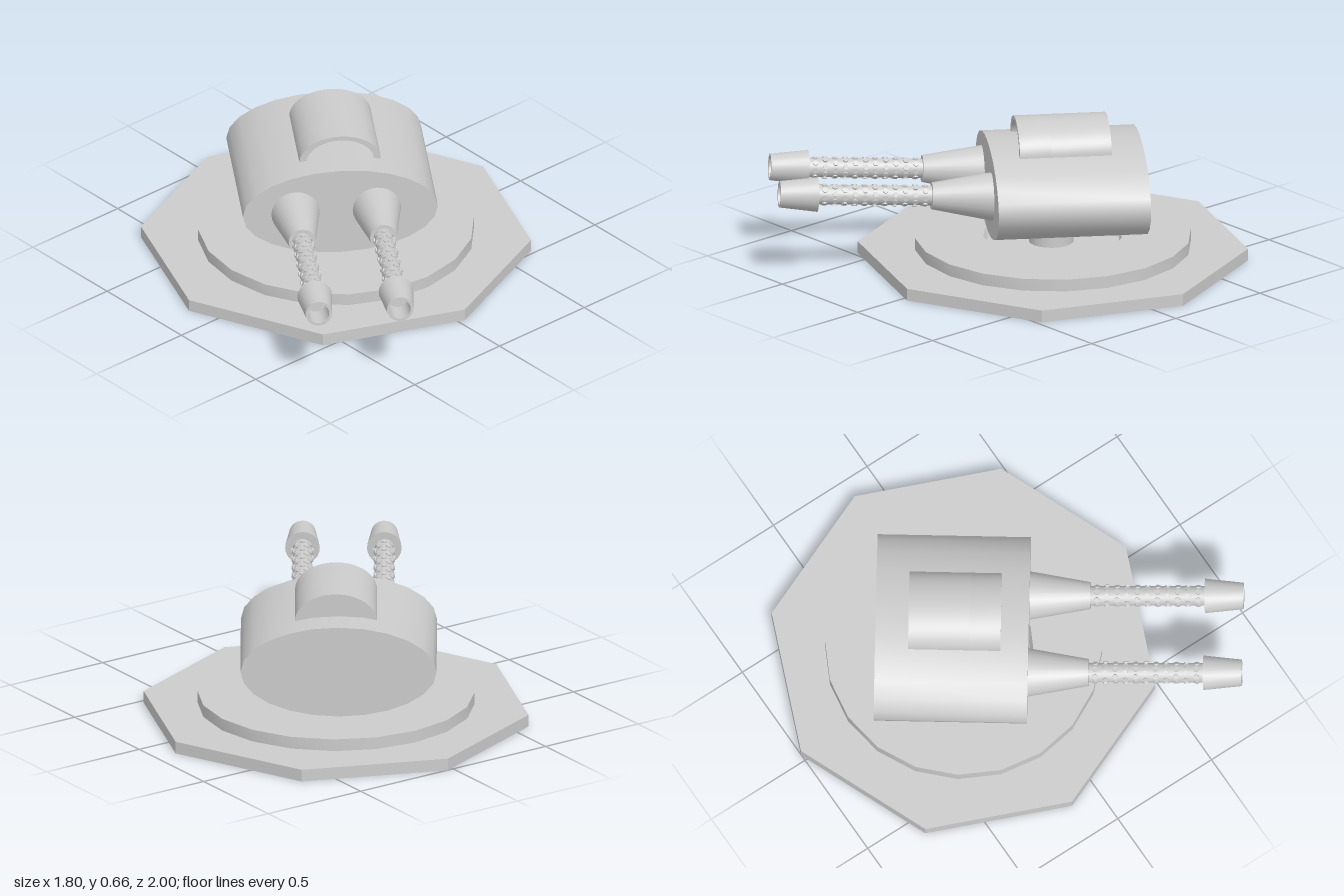
import * as THREE from 'three';
import { mergeGeometries, toCreasedNormals } from 'three/addons/utils/BufferGeometryUtils.js';

const material = new THREE.MeshStandardMaterial({ color: 0xcccccc });

function addMesh(parent, name, geometry, crease = 0.6) {
  const mesh = new THREE.Mesh(toCreasedNormals(geometry, crease), material);
  mesh.name = name;
  parent.add(mesh);
  return mesh;
}

// Closed profile of [radius, height] pairs spun about y
function lathe(profile, sides) {
  return new THREE.LatheGeometry(profile.map(([r, y]) => new THREE.Vector2(r, y)), sides);
}

// Upper half of an ellipse, optionally hollowed into an arch
function archShape(a, b, innerA, innerB) {
  const shape = new THREE.Shape();
  shape.moveTo(a, 0);
  shape.absellipse(0, 0, a, b, 0, Math.PI, false, 0);
  if (innerA) {
    shape.lineTo(-innerA, 0);
    shape.absellipse(0, 0, innerA, innerB, Math.PI, 0, true, 0);
  }
  shape.closePath();
  return shape;
}

function createGun() {
  const gun = new THREE.Group();
  const alongZ = (profile) => lathe(profile, 24).rotateX(Math.PI / 2);

  addMesh(gun, 'gunMount', alongZ([[0, -0.03], [0.115, -0.03], [0.06, 0.28], [0, 0.28]]));
  addMesh(gun, 'barrel', alongZ([[0, 0.25], [0.043, 0.25], [0.043, 0.83], [0, 0.83]]));

  // Hollow muzzle, narrowing towards the tip
  addMesh(gun, 'muzzle', alongZ([
    [0, 0.79], [0.077, 0.79], [0.059, 0.96], [0.047, 0.96], [0.047, 0.85], [0, 0.85],
  ]));

  // Staggered rows of small studs on the barrel jacket
  const studs = [];
  const around = 8;
  for (let row = 0; row < 11; row++) {
    for (let i = 0; i < around; i++) {
      const stud = new THREE.CylinderGeometry(0.012, 0.012, 0.012, 10);
      stud.translate(0, 0.042, 0.31 + row * 0.045);
      stud.rotateZ(((i + (row % 2) / 2) / around) * Math.PI * 2);
      studs.push(stud);
    }
  }
  addMesh(gun, 'barrelStuds', mergeGeometries(studs));
  return gun;
}

export function createModel() {
  const model = new THREE.Group();
  model.name = 'gunTurret';

  // Fixed base: octagonal plate, round step with a sunken well, and a neck
  const base = new THREE.Group();
  base.name = 'base';
  base.position.set(0.03, 0, -0.135);
  model.add(base);
  addMesh(base, 'basePlate', new THREE.CylinderGeometry(0.867, 0.867, 0.055, 8).translate(0, 0.0275, 0));
  addMesh(base, 'turntable', lathe([
    [0, 0.05], [0.615, 0.05], [0.615, 0.11], [0.31, 0.11], [0.295, 0.08], [0, 0.08],
  ], 20));
  addMesh(base, 'neck', new THREE.CylinderGeometry(0.1, 0.1, 0.14, 20).translate(0, 0.14, 0.01));

  // Turned upper part
  const turret = new THREE.Group();
  turret.name = 'turret';
  turret.position.set(0.048, 0, -0.182);
  turret.rotation.y = THREE.MathUtils.degToRad(-35);
  model.add(turret);

  const body = new THREE.CylinderGeometry(1, 1, 0.68, 24);
  body.rotateX(Math.PI / 2).scale(0.435, 0.21, 1).translate(0, 0.345, 0);
  addMesh(turret, 'body', body);

  // Hatch on the roof: solid rear and a hollow hood facing forward
  const hatch = new THREE.Group();
  hatch.name = 'roofHatch';
  hatch.position.set(0.012, 0.53, -0.193);
  turret.add(hatch);
  const extrude = (shape, depth) =>
    new THREE.ExtrudeGeometry(shape, { depth, bevelEnabled: false, curveSegments: 14 });
  addMesh(hatch, 'hatchRear', extrude(archShape(0.182, 0.128), 0.27));
  addMesh(hatch, 'hatchHood', extrude(archShape(0.182, 0.128, 0.152, 0.108), 0.14)).position.z = 0.27;

  // Pair of guns, raised slightly
  for (const [name, x] of [['leftGun', 0.163], ['rightGun', -0.2]]) {
    const gun = createGun();
    gun.name = name;
    gun.position.set(x, 0.35, 0.33);
    gun.rotation.x = THREE.MathUtils.degToRad(-3);
    turret.add(gun);
  }
  return model;
}
